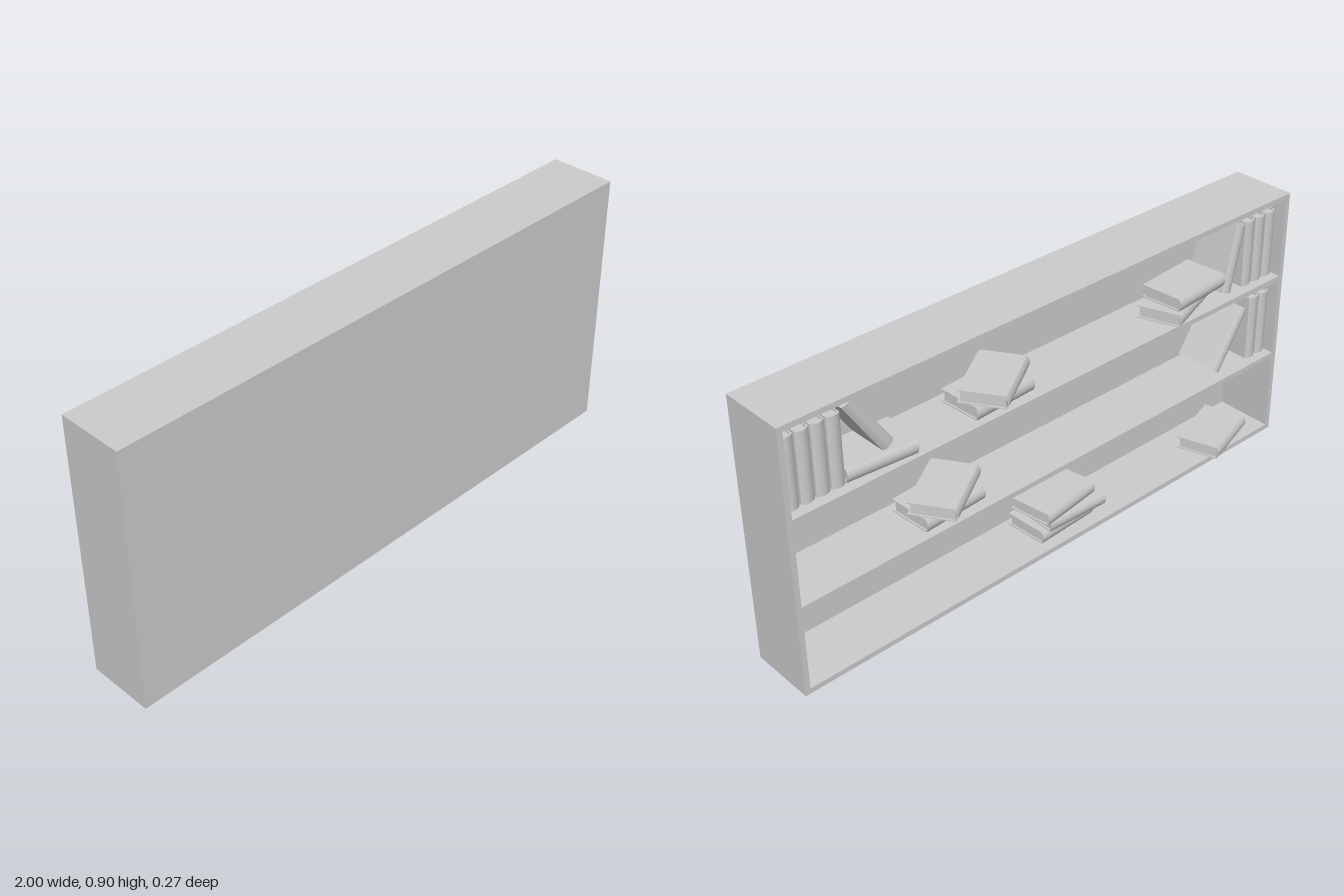
import * as THREE from 'three';

const material = new THREE.MeshStandardMaterial({ color: 0xcccccc });

// Case: open towards -z, closed by a panel on +z
const H = 0.905, BACK = 0.133, OPEN = -0.09, T = 0.018;
const BAY = (H - 4 * T) / 3;
const floorY = (i) => T + i * (BAY + T); // top of board i

// Book: length, width, thickness
const BL = 0.232, BW = 0.155, BT = 0.044, COVER = 0.004, BULGE = 0.008;

function box(name, w, h, d, x, y, z) {
  const mesh = new THREE.Mesh(new THREE.BoxGeometry(w, h, d), material);
  mesh.name = name;
  mesh.position.set(x, y, z);
  return mesh;
}

// Cover section: U shape with a rounded spine, extruded along the length
function coverGeometry() {
  const h = BT / 2, i = h - COVER, u = -BW / 2, s = u + BULGE;
  const shape = new THREE.Shape();
  shape.moveTo(-u, -h);
  shape.lineTo(-u, -i);
  shape.lineTo(s + COVER, -i);
  shape.quadraticCurveTo(u - BULGE + COVER, 0, s + COVER, i);
  shape.lineTo(-u, i);
  shape.lineTo(-u, h);
  shape.lineTo(s, h);
  shape.quadraticCurveTo(u - BULGE, 0, s, -h);
  shape.closePath();
  const geo = new THREE.ExtrudeGeometry(shape, { depth: BL, bevelEnabled: false, curveSegments: 8 });
  return geo.translate(0, 0, -BL / 2).rotateY(-Math.PI / 2);
}

const coverGeo = coverGeometry();

// Book lying flat and centred on its origin, spine towards -z
function makeBook(name) {
  const book = new THREE.Group();
  book.name = name;
  const cover = new THREE.Mesh(coverGeo, material);
  cover.name = 'bookCover';
  const pages = box('bookPages', BL - 0.012, BT - 2 * COVER, BW - 0.018, 0, 0, 0.001);
  book.add(cover, pages);
  return book;
}

// Flat book at a level of a stack, turned by an angle in degrees
function flatBook(shelf, level, x, z, turn) {
  const book = makeBook('flatBook');
  book.position.set(x, floorY(shelf) + BT * (level + 0.5), z);
  book.rotation.y = THREE.MathUtils.degToRad(turn);
  return book;
}

// Standing book; it leans towards +x for positive degrees, pivoting on its lower corner
function standingBook(pivotX, pivotY, lean) {
  const book = makeBook(lean ? 'leaningBook' : 'uprightBook');
  const a = THREE.MathUtils.degToRad(lean);
  const side = lean === 0 ? 0 : (-Math.sign(lean) * BT) / 2;
  book.position.set(
    pivotX + (Math.sin(a) * BL) / 2 + Math.cos(a) * side,
    pivotY + (Math.cos(a) * BL) / 2 - Math.sin(a) * side,
    0.018
  );
  book.rotation.z = Math.PI / 2 - a;
  return book;
}

export function createModel() {
  const model = new THREE.Group();
  model.name = 'bookcase';

  // Case boards
  const depth = BACK - OPEN, midZ = (BACK + OPEN) / 2;
  const frame = new THREE.Group();
  frame.name = 'case';
  for (const s of [-1, 1]) {
    frame.add(box(s > 0 ? 'leftSide' : 'rightSide', T, H, depth, s * (1 - T / 2), H / 2, midZ));
  }
  frame.add(box('backPanel', 2 - 2 * T, H, T, 0, H / 2, BACK - T / 2));
  const names = ['bottomBoard', 'lowerShelf', 'upperShelf', 'topBoard'];
  names.forEach((name, i) => {
    frame.add(box(name, 2 - 2 * T, T, depth - T, 0, floorY(i) - T / 2, midZ - T / 2));
  });
  model.add(frame);

  // Flat books: shelf, level, x, z, turn
  const flat = [
    [0, 0, -0.785, -0.012, 18],
    [0, 0, -0.055, 0.025, 3],
    [0, 1, -0.083, 0.0, -2],
    [0, 2, -0.045, 0.004, 8],
    [1, 0, 0.41, 0.013, 3],
    [1, 1, 0.406, -0.008, 33],
    [2, 0, 0.21, 0.013, 3],
    [2, 1, 0.206, -0.008, 33],
    [2, 0, 0.655, 0.006, -5],
    [2, 0, -0.574, 0.008, 20],
    [2, 1, -0.612, 0.0, 5],
  ];
  for (const f of flat) model.add(flatBook(...f));

  // Upright rows: shelf, first x, step, count
  const rows = [
    [2, 0.952, -0.05, 4],
    [2, -0.956, 0.05, 3],
    [1, -0.956, 0.05, 2],
  ];
  for (const [shelf, x, step, count] of rows) {
    for (let i = 0; i < count; i++) model.add(standingBook(x + i * step, floorY(shelf), 0));
  }

  // Leaning books
  model.add(standingBook(0.648, floorY(2) + BT, 33));
  model.add(standingBook(-0.782, floorY(2), -13));
  model.add(standingBook(-0.75, floorY(1), -33));

  return model;
}
